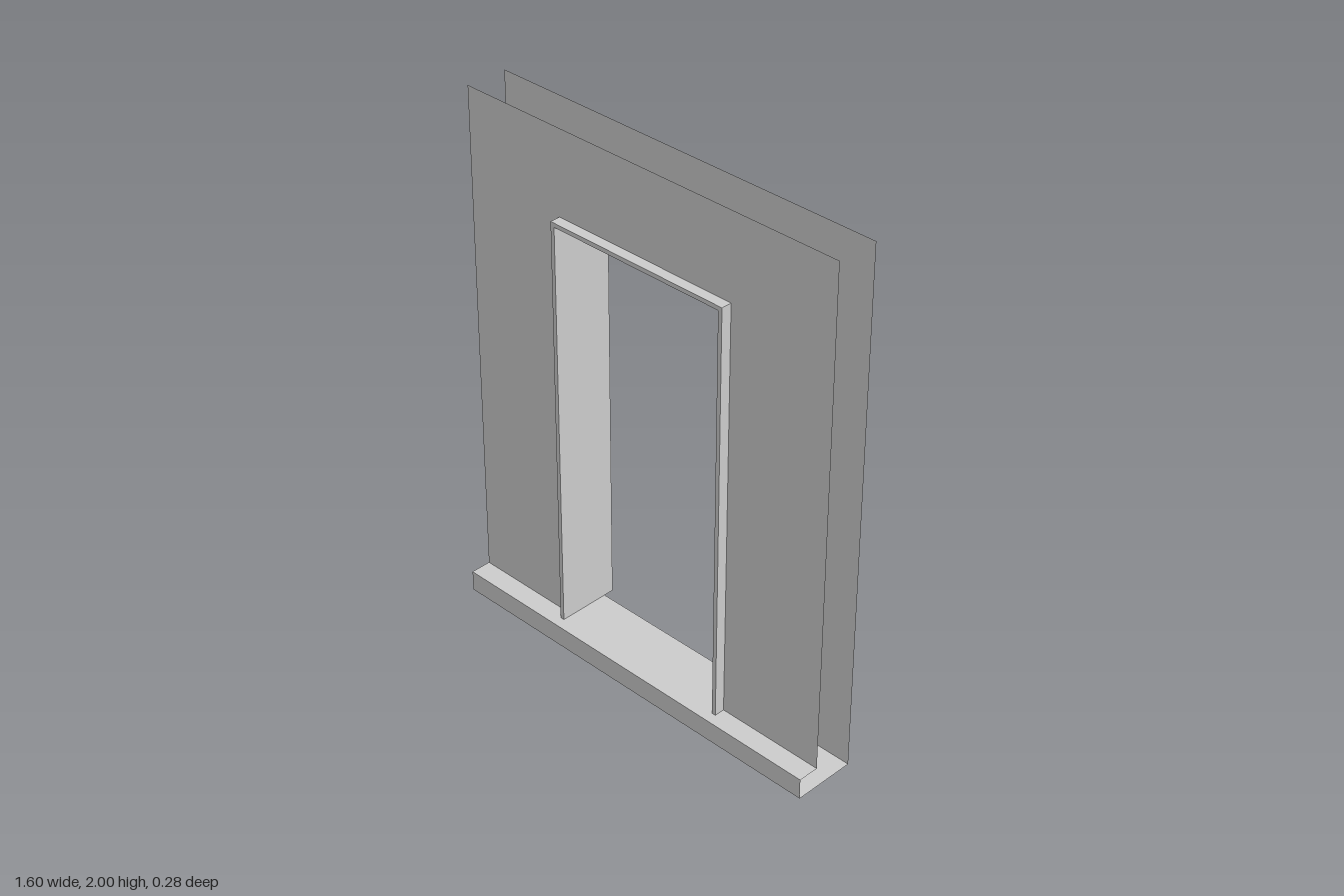
import * as THREE from 'three';

const W = 0.8, H = 2, STEP = 0.08;          // wall half width, height, step height
const OUT = 0.378, IN = 0.362;              // casing outer and inner half widths
const TOP_OUT = 1.68, TOP_IN = 1.664;       // casing outer and inner tops
const Z_FRONT = 0.06, Z_BACK = -0.1, TRIM = 0.04, Z_STEP = 0.14;

export function createModel() {
  const group = new THREE.Group();
  const sheetMat = new THREE.MeshStandardMaterial({ color: 0xcccccc, side: THREE.DoubleSide });
  const solidMat = new THREE.MeshStandardMaterial({ color: 0xcccccc });

  const add = (name, geometry, material = sheetMat) => {
    const mesh = new THREE.Mesh(geometry, material);
    mesh.name = name;
    group.add(mesh);
    return mesh;
  };
  const polygon = (pts) => new THREE.Shape(pts.map(([x, y]) => new THREE.Vector2(x, y)));

  // Upright arch outline with a doorway cut up from the step
  const archShape = (w, h, inW, inH) => polygon([
    [-w, STEP], [-inW, STEP], [-inW, inH], [inW, inH],
    [inW, STEP], [w, STEP], [w, h], [-w, h],
  ]);

  // Horizontal sheet facing up or down, spanning z0 to z1
  const flat = (name, halfWidth, y, z0, z1, up = true) => {
    const g = new THREE.PlaneGeometry(halfWidth * 2, z1 - z0);
    g.rotateX(up ? -Math.PI / 2 : Math.PI / 2);
    add(name, g).position.set(0, y, (z0 + z1) / 2);
  };

  // Two thin wall faces with a hollow between them
  const wall = archShape(W, H, OUT, TOP_OUT);
  add('frontWall', new THREE.ShapeGeometry(wall)).position.z = Z_FRONT;
  const backWall = polygon([[-W, 0], [W, 0], [W, H], [-W, H]]);
  backWall.holes.push(new THREE.Path([
    [-OUT, STEP], [-OUT, TOP_OUT], [OUT, TOP_OUT], [OUT, STEP],
  ].map(([x, y]) => new THREE.Vector2(x, y))));
  add('backWall', new THREE.ShapeGeometry(backWall).rotateY(Math.PI)).position.z = Z_BACK;

  // Step, open at both ends
  flat('stepBottom', W, 0, Z_BACK, Z_STEP, false);
  flat('stepLedge', W, STEP, Z_FRONT, Z_STEP);
  flat('threshold', OUT, STEP, Z_BACK, Z_FRONT);
  add('stepFront', new THREE.PlaneGeometry(W * 2, STEP)).position.set(0, STEP / 2, Z_STEP);

  // Casing trim standing proud of each wall face
  const trim = archShape(OUT, TOP_OUT, IN, TOP_IN);
  for (const [name, z] of [['frontTrim', Z_FRONT], ['backTrim', Z_BACK - TRIM]]) {
    const g = new THREE.ExtrudeGeometry(trim, { depth: TRIM, bevelEnabled: false });
    add(name, g, solidMat).position.z = z;
  }

  // Lining of the doorway between the two walls
  const depth = Z_FRONT - Z_BACK, zMid = (Z_FRONT + Z_BACK) / 2;
  for (const s of [-1, 1]) {
    const g = new THREE.PlaneGeometry(depth, TOP_IN - STEP).rotateY(-s * Math.PI / 2);
    add(s < 0 ? 'rightJamb' : 'leftJamb', g).position.set(s * IN, (TOP_IN + STEP) / 2, zMid);
  }
  flat('headLining', IN, TOP_IN, Z_BACK, Z_FRONT, false);
  flat('headTop', OUT, TOP_OUT, Z_BACK, Z_FRONT);

  return group;
}
